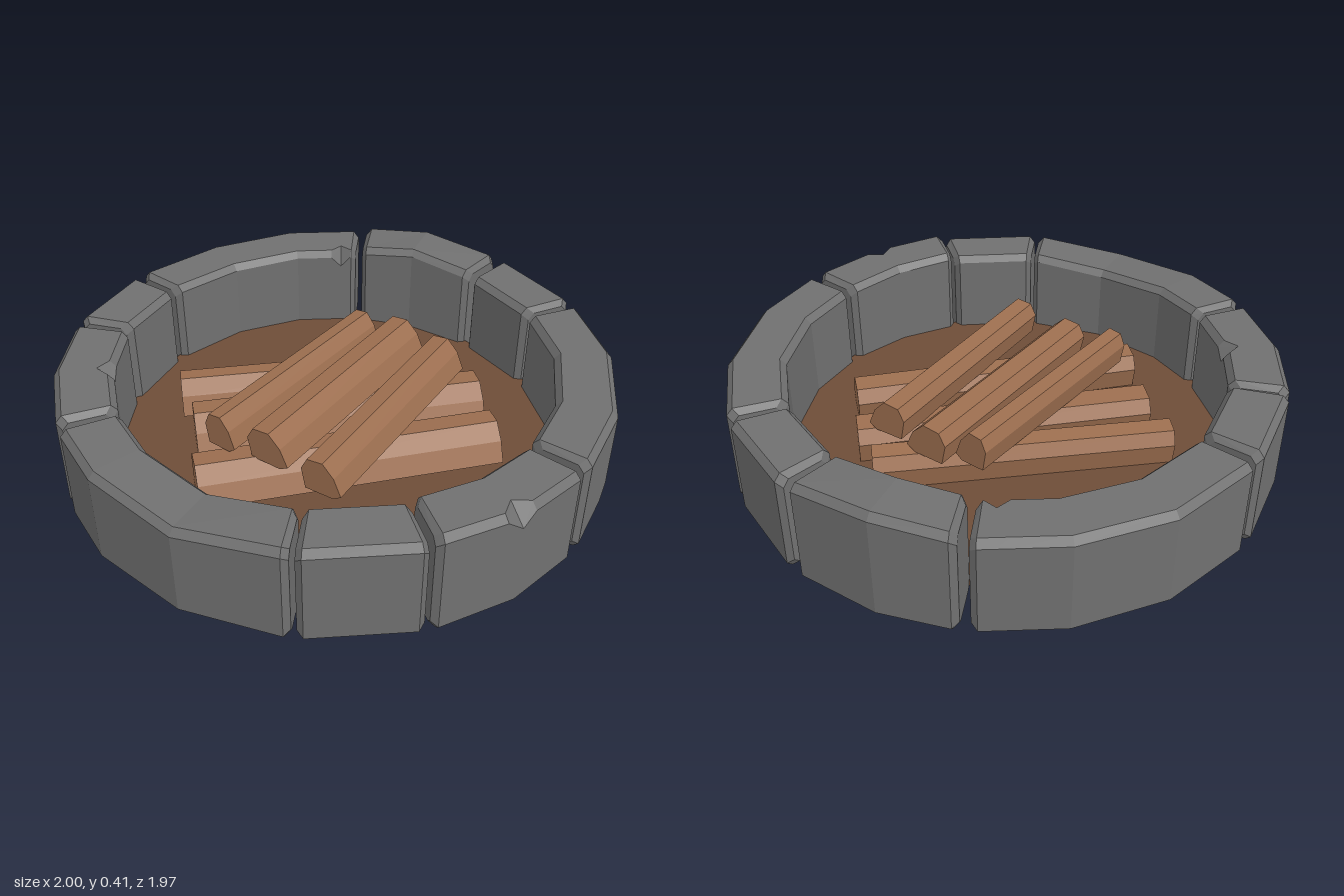
import * as THREE from 'three';

const material = (color) => new THREE.MeshStandardMaterial({ color, flatShading: true });

// Skin a list of equal-length cross-sections and close both ends
function loft(sections) {
  const pos = [];
  const tri = (...pts) => pts.forEach((p) => pos.push(p.x, p.y, p.z));
  const n = sections[0].length;
  for (let i = 0; i < sections.length - 1; i++) {
    const s = sections[i], e = sections[i + 1];
    for (let j = 0; j < n; j++) {
      const k = (j + 1) % n;
      tri(s[j], e[j], e[k]);
      tri(s[j], e[k], s[k]);
    }
  }
  const first = sections[0], last = sections[sections.length - 1];
  for (let j = 1; j < n - 1; j++) {
    tri(first[0], first[j], first[j + 1]);
    tri(last[0], last[j + 1], last[j]);
  }
  const geometry = new THREE.BufferGeometry();
  geometry.setAttribute('position', new THREE.Float32BufferAttribute(pos, 3));
  geometry.computeVertexNormals();
  return geometry;
}

const OUTER = 1, INNER = 0.79;

// Bevelled block profile as [radius, height]; inset shrinks it for the end bevels
function profile(h, inset = 0) {
  const o = OUTER - inset, n = INNER + inset, t = h - inset, b = inset;
  return [
    [o - 0.02, b], [o, b + 0.018], [o, t - 0.025], [o - 0.022, t],
    [n + 0.022, t], [n, t - 0.025], [n, b + 0.018], [n + 0.02, b],
  ];
}

// Which two profile points a chip moves, and by how much [radius, height]
const CHIPS = {
  outerTop: { 2: [0, -0.04], 3: [-0.045, 0] },
  outerBottom: { 1: [0, 0.045], 0: [-0.04, 0] },
  innerTop: { 5: [0, -0.04], 4: [0.035, 0] },
};

// One curved stone: corner angles in degrees (0 = front, 90 = +x), heights per corner
function stoneGeometry({ angles, heights, chip }) {
  const last = angles.length - 1;
  const at = (t, inset = 0, edit = {}) => {
    const i = Math.min(Math.floor(t), last - 1);
    const corner = (c) => profile(heights[c], inset).map(([r, y], j) => {
      const [dr, dy] = edit[j] || [0, 0];
      const a = THREE.MathUtils.degToRad(angles[c]);
      return new THREE.Vector3((r + dr) * Math.sin(a), y + dy, (r + dr) * Math.cos(a));
    });
    const next = corner(i + 1);
    return corner(i).map((p, j) => p.lerp(next[j], t - i));
  };
  const startBevel = 1.3 / (angles[1] - angles[0]);
  const endBevel = 1.3 / (angles[last] - angles[last - 1]);
  const stations = [[0, 0.02], [startBevel], [last - endBevel], [last, 0.02]];
  for (let c = 1; c < last; c++) if (!chip || Math.abs(chip.t - c) > 0.01) stations.push([c]);
  if (chip) {
    stations.push([chip.t - chip.width], [chip.t, 0, CHIPS[chip.kind]], [chip.t + chip.width]);
  }
  stations.sort((a, b) => a[0] - b[0]);
  return loft(stations.map((s) => at(...s)));
}

const STONES = [
  { angles: [-11.5, 11.5], heights: [0.375, 0.375] },
  { angles: [12.5, 29.5, 46.5], heights: [0.395, 0.385, 0.375],
    chip: { t: 1, width: 0.19, kind: 'outerTop' } },
  { angles: [48.5, 66.5, 87.5, 107], heights: [0.375, 0.375, 0.375, 0.375],
    chip: { t: 1, width: 0.17, kind: 'outerBottom' } },
  { angles: [109, 131.5], heights: [0.375, 0.38] },
  { angles: [133.5, 152, 167.5], heights: [0.385, 0.41, 0.39] },
  { angles: [169.5, 187, 206.5, 227.5], heights: [0.375, 0.375, 0.37, 0.375],
    chip: { t: 0.25, width: 0.16, kind: 'innerTop' } },
  { angles: [229.5, 251], heights: [0.375, 0.385] },
  { angles: [252.5, 270, 287.5], heights: [0.38, 0.375, 0.375],
    chip: { t: 1, width: 0.17, kind: 'innerTop' } },
  { angles: [289.5, 305, 326, 347.5], heights: [0.375, 0.37, 0.35, 0.375] },
];

// Split-log profile as fractions of width and height
const LOG = [
  [0.5, -0.35], [0.32, 0.15], [0.04, 0.5], [-0.35, 0.45],
  [-0.5, 0.1], [-0.4, -0.5], [0.3, -0.5],
];

function logGeometry([x1, z1, x2, z2, y, width, height]) {
  const a = new THREE.Vector3(x1, y, z1), b = new THREE.Vector3(x2, y, z2);
  const d = b.clone().sub(a).normalize();
  const side = new THREE.Vector3(-d.z, 0, d.x);
  return loft([a, b].map((p) => LOG.map(([u, v]) => {
    const q = p.clone().addScaledVector(side, u * width);
    q.y += v * height;
    return q;
  })));
}

// Each log: x, z of one end, x, z of the other, centre height, width, height
const LOWER_LOGS = [
  [-0.575, -0.18, 0.49, -0.26, 0.12, 0.17, 0.14],
  [-0.52, 0.04, 0.55, -0.08, 0.12, 0.21, 0.14],
  [-0.51, 0.335, 0.565, 0.17, 0.12, 0.2, 0.14],
];
const UPPER_LOGS = [
  [-0.42, 0.25, 0.15, -0.39, 0.255, 0.13, 0.13],
  [-0.26, 0.345, 0.3, -0.33, 0.25, 0.17, 0.13],
  [-0.09, 0.515, 0.435, -0.185, 0.25, 0.155, 0.13],
];

export function createModel() {
  const model = new THREE.Group();
  model.name = 'firePit';
  const stone = material(0x707070), earth = material(0x6e4d38), wood = material(0x9c6e4f);
  const add = (parent, name, geometry, mat) => {
    const mesh = new THREE.Mesh(geometry, mat);
    mesh.name = name;
    parent.add(mesh);
    return mesh;
  };

  // Ring of stones
  const ring = new THREE.Group();
  ring.name = 'stoneRing';
  STONES.forEach((s, i) => add(ring, `stone${i + 1}`, stoneGeometry(s), stone));

  // Earth floor inside the ring
  const floor = add(model, 'earthFloor', new THREE.CylinderGeometry(0.82, 0.82, 0.02, 32), earth);
  floor.position.y = 0.04;

  // Two crossed layers of firewood
  const pile = new THREE.Group();
  pile.name = 'firewood';
  LOWER_LOGS.forEach((l, i) => add(pile, `lowerLog${i + 1}`, logGeometry(l), wood));
  UPPER_LOGS.forEach((l, i) => add(pile, `upperLog${i + 1}`, logGeometry(l), wood));

  model.add(ring, pile);
  return model;
}
